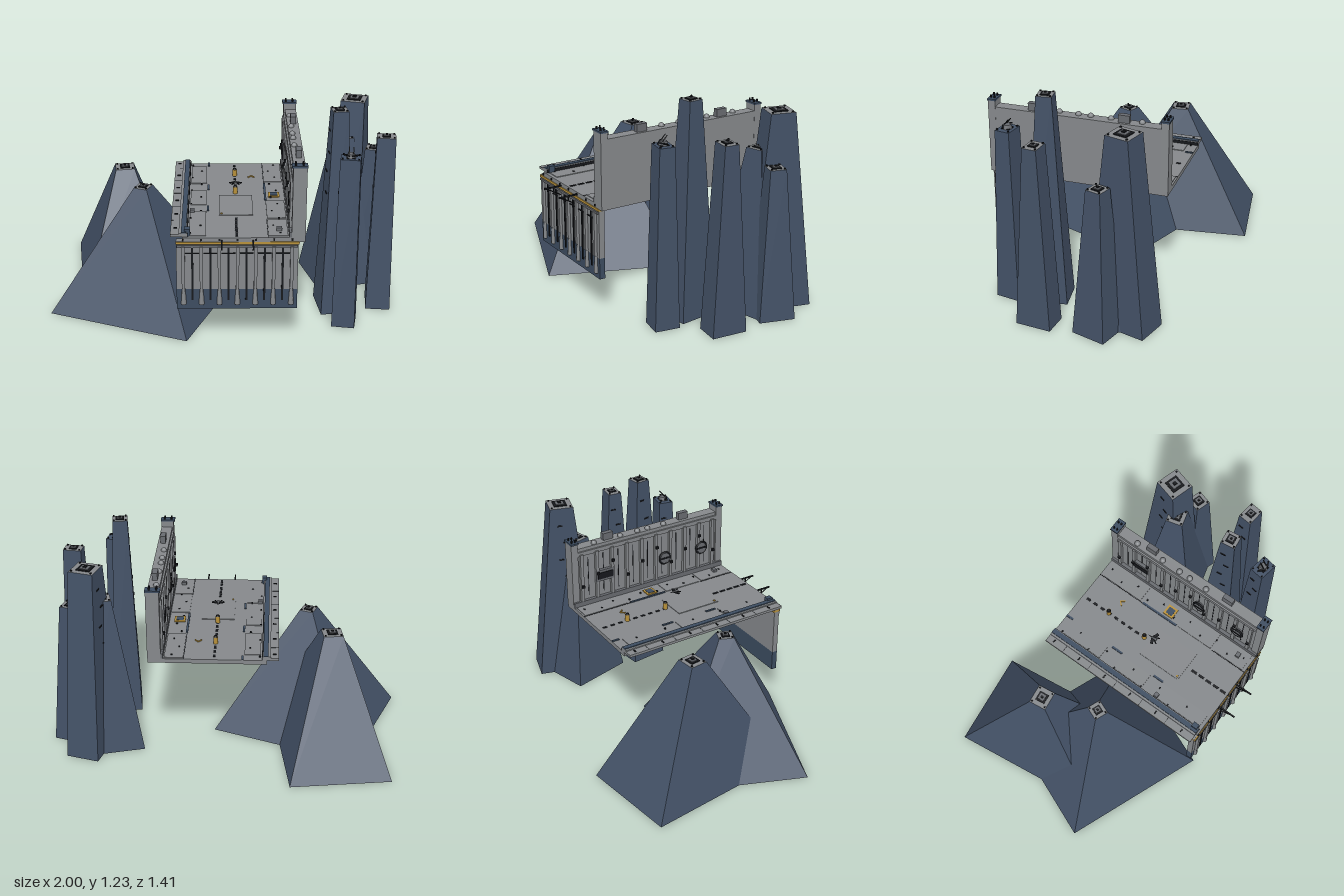
import * as THREE from 'three';

const mat = (name, color) => {
  const m = new THREE.MeshStandardMaterial({ color });
  m.name = name;
  return m;
};

export function createModel() {
  const rock = mat('slate rock', 0x435166);
  const grey = mat('plate grey', 0x85888b);
  const navy = mat('dark blue trim', 0x3c4c60);
  const steel = mat('mid grey steel', 0x686b70);
  const black = mat('black', 0x16181c);
  const gold = mat('gold', 0xb8913a);
  const root = new THREE.Group();
  const DECK = 0.64;

  const add = (parent, name, geo, material, x = 0, y = 0, z = 0) => {
    const m = new THREE.Mesh(geo, material);
    m.name = name;
    m.position.set(x, y, z);
    parent.add(m);
    return m;
  };
  // Box given by its minimum and maximum on each axis
  const box = (parent, name, material, x0, x1, y0, y1, z0, z1) =>
    add(parent, name, new THREE.BoxGeometry(x1 - x0, y1 - y0, z1 - z0), material,
      (x0 + x1) / 2, (y0 + y1) / 2, (z0 + z1) / 2);
  const section = (name) => {
    const g = new THREE.Group();
    g.name = name;
    root.add(g);
    return g;
  };

  // Tapered four-sided rock spire with a flat cap and a roof hatch
  const spire = (name, x, z, h, deg, w, l, tw, tl, slits, capMat = grey) => {
    const g = section(name);
    g.position.set(x, 0, z);
    g.rotation.y = -deg * Math.PI / 180;
    const geo = new THREE.BoxGeometry(1, h, 1);
    const p = geo.attributes.position;
    for (let i = 0; i < p.count; i++) {
      const top = p.getY(i) > 0;
      p.setXYZ(i, p.getX(i) * (top ? tw : w), top ? h : 0, p.getZ(i) * (top ? tl : l));
    }
    geo.computeVertexNormals();
    add(g, 'spireBody', geo, [rock, rock, capMat, rock, rock, rock]);
    const s = Math.min(tw, tl);
    box(g, 'hatchRim', black, -s * 0.28, s * 0.28, h, h + 0.005, -s * 0.28, s * 0.28);
    box(g, 'hatch', steel, -s * 0.18, s * 0.18, h, h + 0.009, -s * 0.18, s * 0.18);
    box(g, 'hatchCore', black, -s * 0.07, s * 0.07, h, h + 0.015, -s * 0.07, s * 0.07);
    for (const sx of [-1, 1]) for (const sz of [-1, 1])
      add(g, 'cornerStud', new THREE.BoxGeometry(0.008, 0.008, 0.008), black,
        sx * tw * 0.4, h + 0.003, sz * tl * 0.4);
    for (let i = 0; i < slits; i++) {
      const t = 0.9 - i * 0.1;
      add(g, 'windowSlit', new THREE.BoxGeometry(0.008, 0.008, 0.03), black,
        -(w + (tw - w) * t) / 2, h * t, (i % 2 - 0.5) * 0.03);
    }
    return g;
  };
  spire('rearMountain', -0.585, -0.22, 0.71, -7.5, 0.57, 0.9, 0.11, 0.1, 0);
  spire('frontMountain', -0.46, 0.075, 0.71, 21.7, 0.85, 0.78, 0.08, 0.085, 0);
  spire('broadSpire', 0.7, -0.22, 0.9, -15, 0.375, 0.375, 0.1, 0.1, 0);
  spire('rearSpire', 0.765, -0.29, 1.11, 16, 0.19, 0.37, 0.14, 0.14, 4);
  spire('lowSpire', 0.88, -0.19, 0.84, 17, 0.2, 0.2, 0.09, 0.09, 2);
  spire('tallSpire', 0.63, 0.18, 1.21, -7, 0.175, 0.23, 0.085, 0.085, 4);
  spire('outerSpire', 0.9, 0.143, 1.04, 6, 0.14, 0.2, 0.105, 0.08, 3);
  const dishSpire = spire('frontSpire', 0.68, 0.38, 1.01, 10, 0.13, 0.14, 0.11, 0.085, 3, rock);

  // Antenna gun on the front spire
  add(dishSpire, 'gunBase', new THREE.CylinderGeometry(0.02, 0.028, 0.025, 10), steel, 0, 1.02, 0);
  for (const s of [-1, 1]) {
    const b = add(dishSpire, 'gunBarrel', new THREE.CylinderGeometry(0.003, 0.003, 0.05, 6), black, s * 0.012, 1.045, 0);
    b.rotation.x = -0.7;
    const strut = add(dishSpire, 'gunStrut', new THREE.BoxGeometry(0.045, 0.006, 0.008), black, s * 0.025, 1.025, 0.01);
    strut.rotation.y = s * 0.6;
  }

  // Landing deck
  const deck = section('landingDeck');
  box(deck, 'deckSlab', grey, -0.225, 0.43, 0.615, DECK, -0.43, 0.6);
  box(deck, 'deckLip', grey, -0.29, -0.22, 0.64, 0.655, -0.43, 0.59);
  box(deck, 'curb', grey, -0.245, -0.2, 0.64, 0.662, -0.43, 0.59);
  box(deck, 'curbStrip', navy, -0.232, -0.204, 0.66, 0.667, -0.43, 0.59);
  box(deck, 'curbEdge', black, -0.2, -0.197, 0.64, 0.658, -0.43, 0.59);
  box(deck, 'cornerBlock', navy, -0.215, -0.185, 0.64, 0.68, 0.545, 0.58);
  for (let i = 0; i < 6; i++) {
    const z = -0.39 + i * 0.18;
    box(deck, 'curbCleat', black, -0.275, -0.255, 0.655, 0.66, z, z + 0.007);
    box(deck, 'curbJoint', black, -0.29, -0.245, 0.655, 0.656, z + 0.08, z + 0.082);
  }
  // Raised deck plates
  for (const [x0, x1, z0, z1] of [[-0.19, -0.1, -0.37, -0.12], [-0.19, -0.1, -0.02, 0.18],
    [-0.19, -0.1, 0.27, 0.58], [0.235, 0.34, -0.42, -0.14], [0.235, 0.34, 0.13, 0.36],
    [-0.03, 0.16, 0.05, 0.32], [0.235, 0.34, 0.38, 0.58]])
    box(deck, 'deckPlate', grey, x0, x1, DECK, DECK + 0.004, z0, z1);
  for (const [x, z0, z1] of [[-0.09, -0.43, -0.385], [-0.09, -0.1, -0.03], [-0.09, 0.195, 0.26], [0.235, -0.12, 0.12]])
    box(deck, 'deckInset', navy, x - 0.006, x + 0.006, DECK, DECK + 0.005, z0, z1);
  for (const [z0, z1] of [[-0.43, -0.12], [0.37, 0.6]])
    box(deck, 'deckSeam', black, 0.231, 0.234, DECK, DECK + 0.002, z0, z1);
  // Centre line dashes
  for (let z = -0.4; z < 0.58; z += 0.05)
    if (z < 0.03 || z > 0.32)
      box(deck, 'centreDash', black, 0.058, 0.072, DECK, DECK + 0.003, z, z + (z > 0.32 ? 0.036 : 0.025));
  // Deck lamps
  for (let i = 0; i < 11; i++)
    for (const x of [-0.185, -0.13, 0.265, 0.3])
      if ((i + Math.round(x * 20)) % 2 === 0)
        add(deck, 'deckLamp', new THREE.BoxGeometry(0.01, 0.008, 0.008), black, x, DECK + 0.004, -0.39 + i * 0.094);
  // Gold posts
  for (const z of [-0.24, 0.015]) {
    add(deck, 'post', new THREE.CylinderGeometry(0.013, 0.013, 0.04, 12), gold, 0.065, DECK + 0.02, z);
    add(deck, 'postCap', new THREE.CylinderGeometry(0.008, 0.012, 0.008, 12), black, 0.065, DECK + 0.044, z);
  }
  // Lift marked with a gold frame
  box(deck, 'liftFrame', gold, 0.253, 0.317, DECK, DECK + 0.006, 0.012, 0.076);
  box(deck, 'liftPad', navy, 0.264, 0.306, DECK, DECK + 0.008, 0.023, 0.065);
  // Chevron mark
  for (const s of [-1, 1]) {
    const c = add(deck, 'chevron', new THREE.BoxGeometry(0.006, 0.006, 0.03), gold, 0.163 + s * 0.009, DECK + 0.003, -0.22);
    c.rotation.y = s * 0.7;
  }
  box(deck, 'crate', gold, -0.02, -0.01, DECK, DECK + 0.01, 0.3, 0.31);
  box(deck, 'crate', steel, -0.19, -0.165, DECK, DECK + 0.02, 0.265, 0.29);
  box(deck, 'crate', steel, 0.28, 0.31, DECK, DECK + 0.02, 0.5, 0.525);

  // Small hovering craft
  const craft = section('hoverCraft');
  craft.position.set(0.065, 0.735, 0.07);
  const body = add(craft, 'craftBody', new THREE.ConeGeometry(0.009, 0.06, 6), steel);
  body.rotation.x = -Math.PI / 2;
  for (const s of [-1, 1]) {
    const wing = add(craft, 'craftWing', new THREE.BoxGeometry(0.036, 0.004, 0.016), black, s * 0.018, 0, 0.012);
    wing.rotation.y = -s * 0.4;
    const tail = add(craft, 'craftFin', new THREE.BoxGeometry(0.005, 0.004, 0.03), black, s * 0.013, 0, 0.028);
    tail.rotation.y = s * 0.5;
  }

  // Side wall
  const wall = section('sideWall');
  box(wall, 'wallPanel', grey, 0.365, 0.43, 0.62, 1.005, -0.43, 0.6);
  box(wall, 'wallFoot', steel, 0.345, 0.366, DECK, 0.67, -0.43, 0.6);
  box(wall, 'wallRail', grey, 0.355, 0.366, 0.96, 0.985, -0.39, 0.56);
  for (let i = 0; i < 10; i++) {
    const z = -0.37 + i * 0.1;
    box(wall, 'pilaster', grey, 0.347, 0.366, 0.66, 0.97, z - 0.01, z + 0.01);
    if (i < 9) box(wall, 'wallSeam', black, 0.363, 0.366, 0.69, 0.94, z + 0.045, z + 0.049);
    box(wall, 'wallClamp', black, 0.335, 0.348, 0.76 + (i % 3) * 0.06, 0.775 + (i % 3) * 0.06, z - 0.008, z + 0.008);
  }
  for (const z of [-0.41, 0.58]) {
    box(wall, 'endPost', grey, 0.357, 0.431, DECK, 1.045, z - 0.021, z + 0.021);
    box(wall, 'postTop', navy, 0.35, 0.434, 1.04, 1.05, z - 0.024, z + 0.024);
    for (const x of [0.37, 0.41]) for (const s of [-1, 1])
      add(wall, 'postSpike', new THREE.CylinderGeometry(0.005, 0.005, 0.018, 8), black, x, 1.056, z + s * 0.01);
  }
  for (const z of [-0.175, 0.34])
    box(wall, 'wallTurret', steel, 0.385, 0.415, 1.0, 1.048, z - 0.032, z + 0.032);
  for (const z of [-0.27, -0.095, 0.02, 0.09, 0.2])
    add(wall, 'wallDome', new THREE.CapsuleGeometry(0.017, 0.012, 4, 10), grey, 0.385, 1.002, z);
  // Round hatches and a dark window on the inner face
  for (const z of [0.19, 0.45]) {
    const ring = add(wall, 'roundHatchRing', new THREE.TorusGeometry(0.036, 0.007, 6, 20), black, 0.35, 0.8, z);
    ring.rotation.y = Math.PI / 2;
    const disc = add(wall, 'roundHatch', new THREE.CylinderGeometry(0.034, 0.034, 0.02, 20), steel, 0.355, 0.8, z);
    disc.rotation.z = Math.PI / 2;
    box(wall, 'hatchBar', black, 0.342, 0.35, 0.795, 0.805, z - 0.032, z + 0.032);
  }
  box(wall, 'windowFrame', steel, 0.346, 0.366, 0.77, 0.84, -0.28, -0.16);
  box(wall, 'window', black, 0.342, 0.347, 0.785, 0.825, -0.27, -0.17);

  // Front apron with ribs hanging below the deck
  const apron = section('frontApron');
  box(apron, 'apronPanel', grey, -0.26, 0.395, 0.33, 0.618, 0.565, 0.598);
  box(apron, 'apronBase', navy, -0.26, 0.395, 0.21, 0.33, 0.565, 0.598);
  box(apron, 'goldBand', gold, -0.26, 0.4, 0.603, 0.616, 0.56, 0.605);
  box(apron, 'apronBeam', steel, -0.255, 0.39, 0.585, 0.598, 0.59, 0.607);
  for (let i = 0; i < 7; i++) {
    const x = -0.222 + i * 0.0972;
    box(apron, 'rib', grey, x - 0.009, x + 0.009, 0.34, 0.59, 0.59, 0.614);
    add(apron, 'ribFoot', new THREE.CylinderGeometry(0.008, 0.015, 0.11, 8), grey, x, 0.295, 0.6);
    box(apron, 'bandMark', black, x - 0.005, x + 0.005, 0.622, 0.634, 0.598, 0.604);
    if (i === 6) continue;
    box(apron, 'slot', black, x + 0.043, x + 0.054, 0.265, 0.585, 0.59, 0.603);
    box(apron, 'crossBar', black, x + 0.012, x + 0.085, 0.545, 0.55, 0.59, 0.604);
  }
  // Two docking booms with struts
  for (const x of [-0.015, 0.152]) {
    box(apron, 'boom', black, x - 0.004, x + 0.004, 0.618, 0.626, 0.59, 0.705);
    const strut = add(apron, 'boomStrut', new THREE.CylinderGeometry(0.003, 0.003, 0.1, 6), black, x, 0.595, 0.647);
    strut.rotation.x = Math.atan2(0.085, 0.05);
    box(apron, 'boomLink', black, x - 0.003, x + 0.003, 0.592, 0.62, 0.645, 0.65);
  }
  return root;
}
